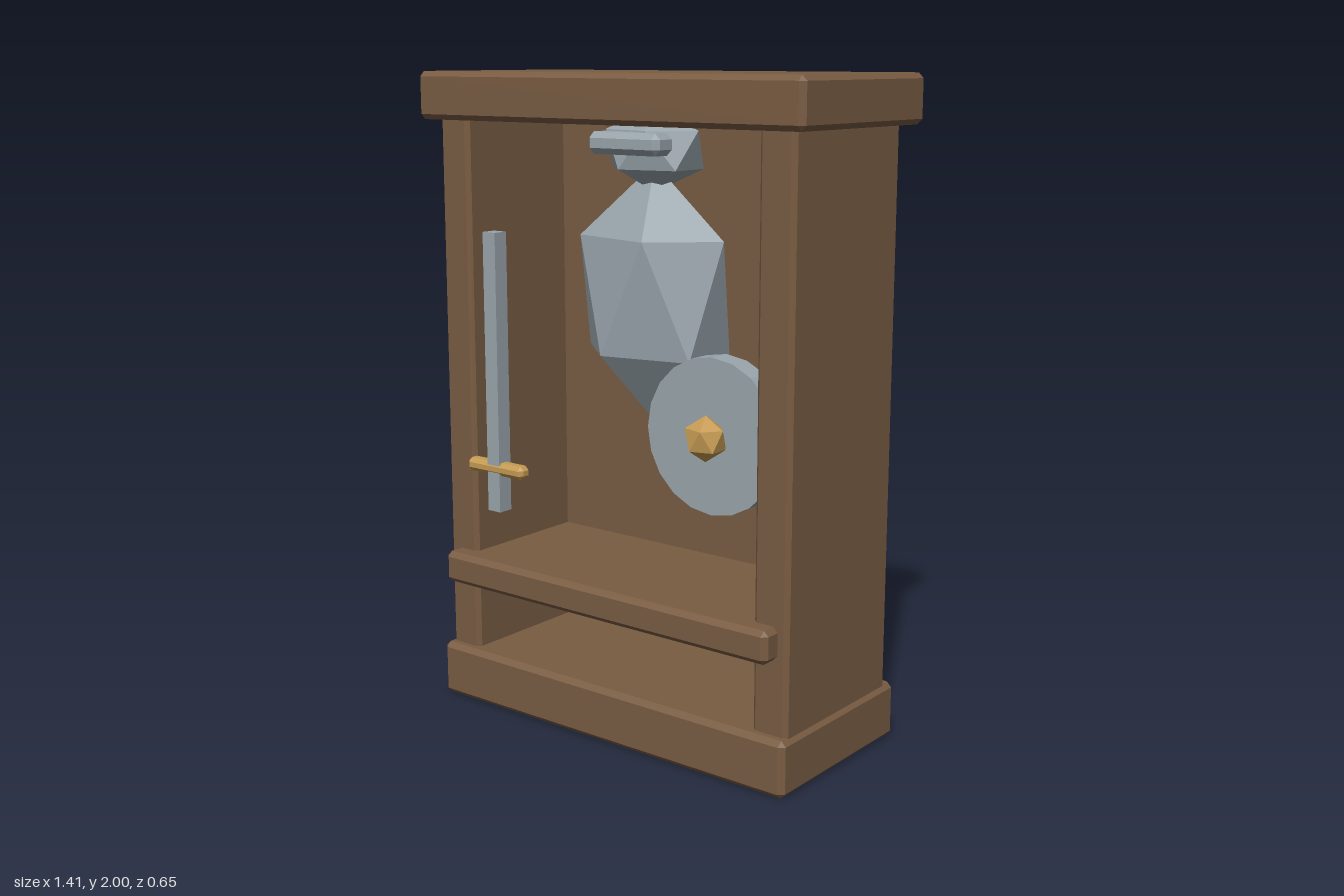
import * as THREE from 'three';
import { ConvexGeometry } from 'three/addons/geometries/ConvexGeometry.js';

// Box with chamfered edges, given by its extents on each axis
function chamferBox([x0, x1], [y0, y1], [z0, z1], b) {
  const h = [(x1 - x0) / 2, (y1 - y0) / 2, (z1 - z0) / 2];
  const points = [];
  for (const sx of [-1, 1]) for (const sy of [-1, 1]) for (const sz of [-1, 1]) {
    for (let face = 0; face < 3; face++) {
      const [px, py, pz] = h.map((v, i) => (i === face ? v : v - b));
      points.push(new THREE.Vector3(sx * px, sy * py, sz * pz));
    }
  }
  return new ConvexGeometry(points).translate((x0 + x1) / 2, (y0 + y1) / 2, (z0 + z1) / 2);
}

// Faceted gem standing on one point, stretched to the given radii
function gem(rx, ry, rz) {
  const tilt = Math.atan(2 / (1 + Math.sqrt(5)));
  const g = new THREE.IcosahedronGeometry(1, 0).rotateZ(-tilt).scale(rx, ry, rz);
  g.computeVertexNormals();
  return g;
}

export function createModel() {
  const model = new THREE.Group();
  model.name = 'displayCabinet';

  const material = (name, color) => {
    const m = new THREE.MeshStandardMaterial({ color });
    m.name = name;
    return m;
  };
  const wood = material('brownWood', 0x795c42);
  const steel = material('greySteel', 0x98a4ab);
  const brass = material('brass', 0xc49a52);

  const add = (name, geometry, mat) => {
    const mesh = new THREE.Mesh(geometry, mat);
    mesh.name = name;
    model.add(mesh);
    return mesh;
  };

  // Cabinet
  add('base', chamferBox([-0.667, 0.667], [0, 0.173], [-0.316, 0.29], 0.016), wood);
  add('topCap', chamferBox([-0.705, 0.705], [1.855, 2], [-0.327, 0.3], 0.016), wood);
  for (const [name, x0, x1] of [['rightSide', -0.655, -0.537], ['leftSide', 0.537, 0.655]]) {
    add(name, chamferBox([x0, x1], [0.15, 1.88], [-0.28, 0.257], 0.013), wood);
  }
  add('backPanel', chamferBox([-0.56, 0.56], [0.15, 1.88], [-0.27, -0.18], 0.01), wood);
  add('shelf', chamferBox([-0.622, 0.622], [0.395, 0.495], [-0.288, 0.317], 0.016), wood);

  // Hanging crystal with its crown and clasp
  add('crystal', gem(0.285, 0.39, 0.19), steel).position.set(0, 1.345, 0.02);
  add('crystalCrown', gem(0.18, 0.127, 0.13), steel).position.set(0, 1.777, 0.02);
  add('clasp', chamferBox([-0.132, 0.132], [1.765, 1.83], [0.09, 0.18], 0.018), steel);

  // Blade with crossguard
  add('blade', new THREE.BoxGeometry(0.05, 0.87, 0.05).translate(-0.425, 1.09, 0.265), steel);
  add('crossguard', chamferBox([-0.54, -0.308], [0.77, 0.812], [0.245, 0.293], 0.013), brass);

  // Round shield with a faceted boss
  const shield = new THREE.CylinderGeometry(0.227, 0.227, 0.07, 20).toNonIndexed();
  shield.computeVertexNormals();
  add('shield', shield.rotateX(Math.PI / 2).translate(0.38, 1, 0.21), steel);
  add('shieldBoss', gem(0.067, 0.067, 0.06), brass).position.set(0.38, 1, 0.272);

  return model;
}
